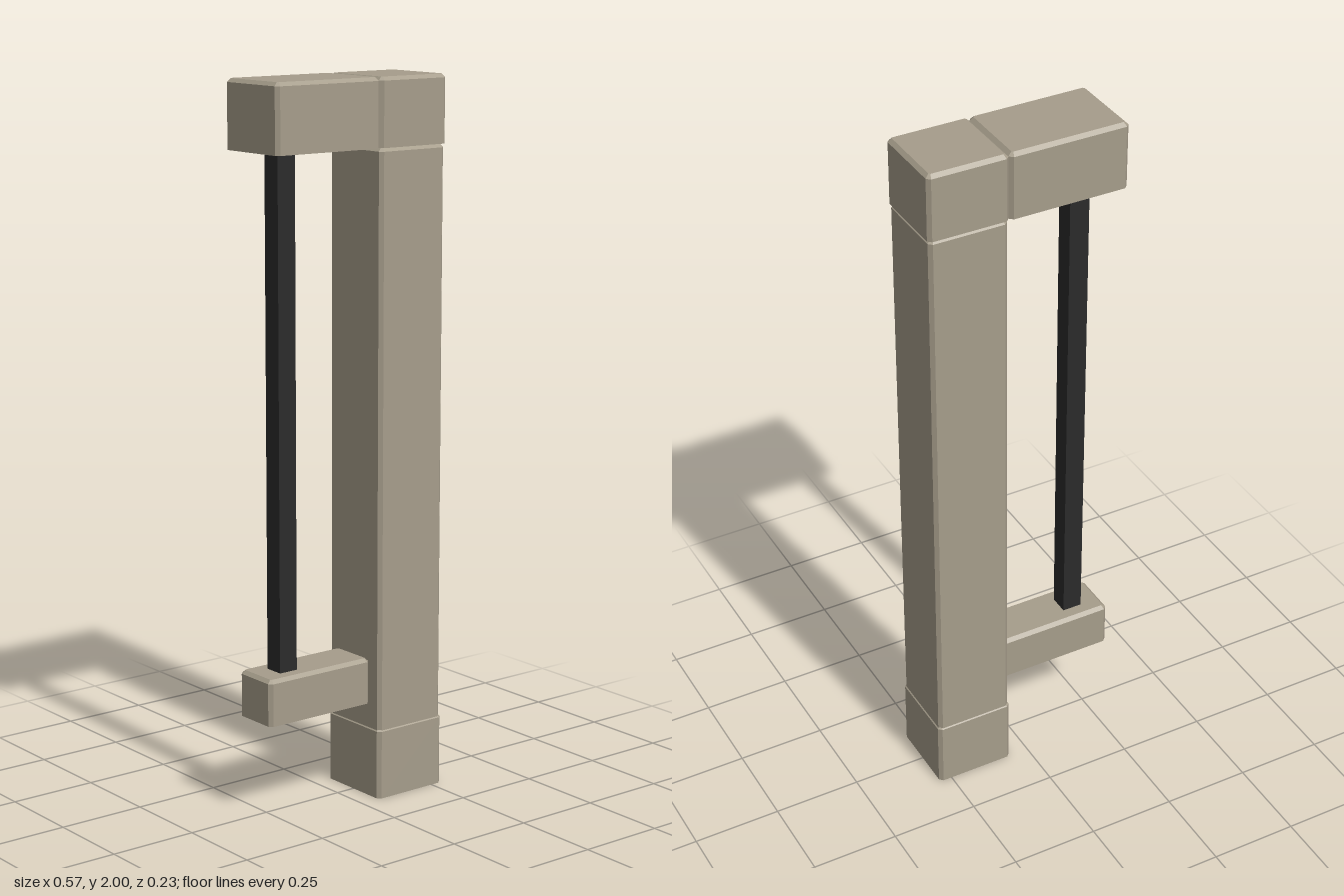
import * as THREE from 'three';

const CHAMFER = 0.01;

// Chamfered rectangle outline, counter-clockwise seen from above
function outline(w, d, c) {
  const x = w / 2, z = d / 2;
  return [
    [x, -z + c], [x - c, -z], [-x + c, -z], [-x, -z + c],
    [-x, z - c], [-x + c, z], [x - c, z], [x, z - c],
  ];
}

// Block with a flat bottom and chamfered upright and top edges
function blockGeometry(w, h, d) {
  const c = CHAMFER;
  const rings = [
    outline(w, d, c).map(([x, z]) => [x, 0, z]),
    outline(w, d, c).map(([x, z]) => [x, h - c, z]),
    outline(w - 2 * c, d - 2 * c, c * 0.4).map(([x, z]) => [x, h, z]),
  ];
  const pos = [];
  const tri = (a, b, e) => pos.push(...a, ...b, ...e);
  for (let r = 0; r < 2; r++) {
    for (let i = 0; i < 8; i++) {
      const j = (i + 1) % 8;
      const a = rings[r][i], b = rings[r][j], e = rings[r + 1][j], f = rings[r + 1][i];
      tri(a, b, e);
      tri(a, e, f);
    }
  }
  for (let i = 1; i < 7; i++) {
    tri(rings[2][0], rings[2][i], rings[2][i + 1]);
    tri(rings[0][0], rings[0][i + 1], rings[0][i]);
  }
  const g = new THREE.BufferGeometry();
  g.setAttribute('position', new THREE.Float32BufferAttribute(pos, 3));
  g.computeVertexNormals();
  return g;
}

export function createModel() {
  const model = new THREE.Group();
  model.name = 'postWithRod';

  const stone = new THREE.MeshStandardMaterial({ color: 0xa69d8b });
  stone.name = 'warm grey stone';
  const iron = new THREE.MeshStandardMaterial({ color: 0x2b2b2b });
  iron.name = 'dark iron';

  const addBlock = (name, x0, x1, y0, y1, depth) => {
    const mesh = new THREE.Mesh(blockGeometry(x1 - x0, y1 - y0, depth), stone);
    mesh.name = name;
    mesh.position.set((x0 + x1) / 2, y0, 0);
    model.add(mesh);
  };

  // Upright post: base, slightly slimmer shaft, cap
  addBlock('postBase', 0.057, 0.286, 0, 0.205, 0.227);
  addBlock('postShaft', 0.06, 0.283, 0.1, 1.813, 0.221);
  addBlock('postCap', 0.057, 0.286, 1.813, 2, 0.227);

  // Arms reaching sideways from the post
  addBlock('topArm', -0.286, 0.057, 1.813, 2, 0.227);
  addBlock('lowerArm', -0.286, 0.06, 0.27, 0.4, 0.14);

  // Square rod between the arms
  const rod = new THREE.Mesh(new THREE.BoxGeometry(0.057, 1.44, 0.057), iron);
  rod.name = 'rod';
  rod.position.set(-0.193, 1.107, 0);
  model.add(rod);

  return model;
}
